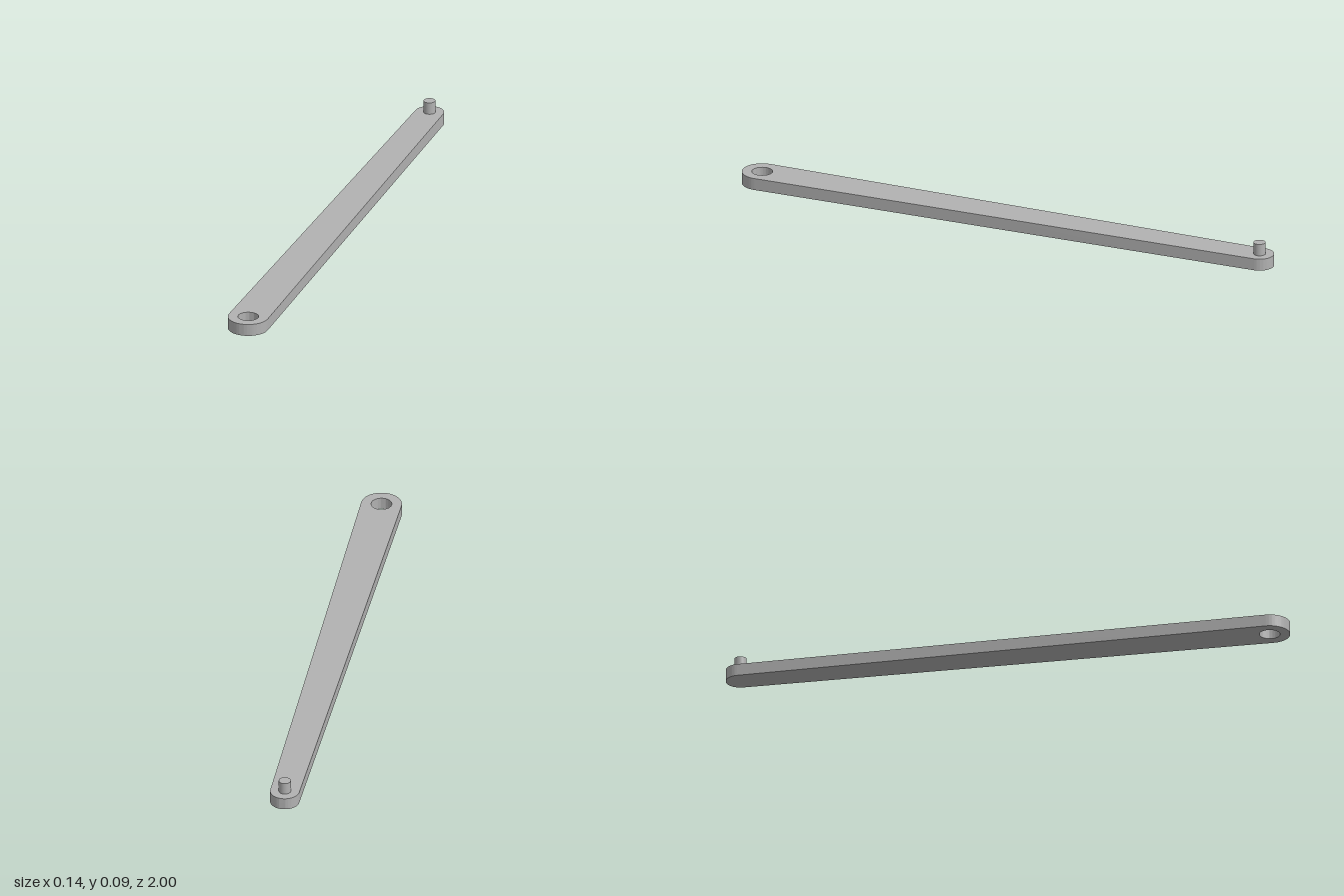
import * as THREE from 'three';
import { toCreasedNormals } from 'three/addons/utils/BufferGeometryUtils.js';

const THICK = 0.043;
const FRONT = { z: 0.929, r: 0.071 }; // wide end with the hole
const BACK = { z: -0.949, r: 0.051 }; // narrow end with the pin

export function createModel() {
  const group = new THREE.Group();
  group.name = 'linkArm';
  const grey = new THREE.MeshStandardMaterial({ color: 0xb2b2b2 });
  grey.name = 'grey';

  // Tapered bar: two end arcs joined by their common tangents (shape y is -z)
  const tilt = Math.asin((FRONT.r - BACK.r) / (FRONT.z - BACK.z));
  const outline = new THREE.Shape();
  outline.absarc(0, -BACK.z, BACK.r, tilt, Math.PI - tilt, false);
  outline.absarc(0, -FRONT.z, FRONT.r, Math.PI - tilt, Math.PI * 2 + tilt, false);
  outline.closePath();

  // Through hole at the wide end
  const hole = new THREE.Path();
  hole.absarc(0, -FRONT.z, 0.036, 0, Math.PI * 2, true);
  outline.holes.push(hole);

  const barGeometry = new THREE.ExtrudeGeometry(outline, {
    depth: THICK, bevelEnabled: false, curveSegments: 32,
  });
  barGeometry.rotateX(-Math.PI / 2);
  const bar = new THREE.Mesh(toCreasedNormals(barGeometry, Math.PI / 6), grey);
  bar.name = 'bar';
  group.add(bar);

  // Upright pin at the narrow end, seated slightly into the bar
  const bottom = THICK - 0.005, top = 0.086;
  const pin = new THREE.Mesh(new THREE.CylinderGeometry(0.021, 0.021, top - bottom, 40), grey);
  pin.name = 'pin';
  pin.position.set(0, (top + bottom) / 2, BACK.z);
  group.add(pin);

  return group;
}
